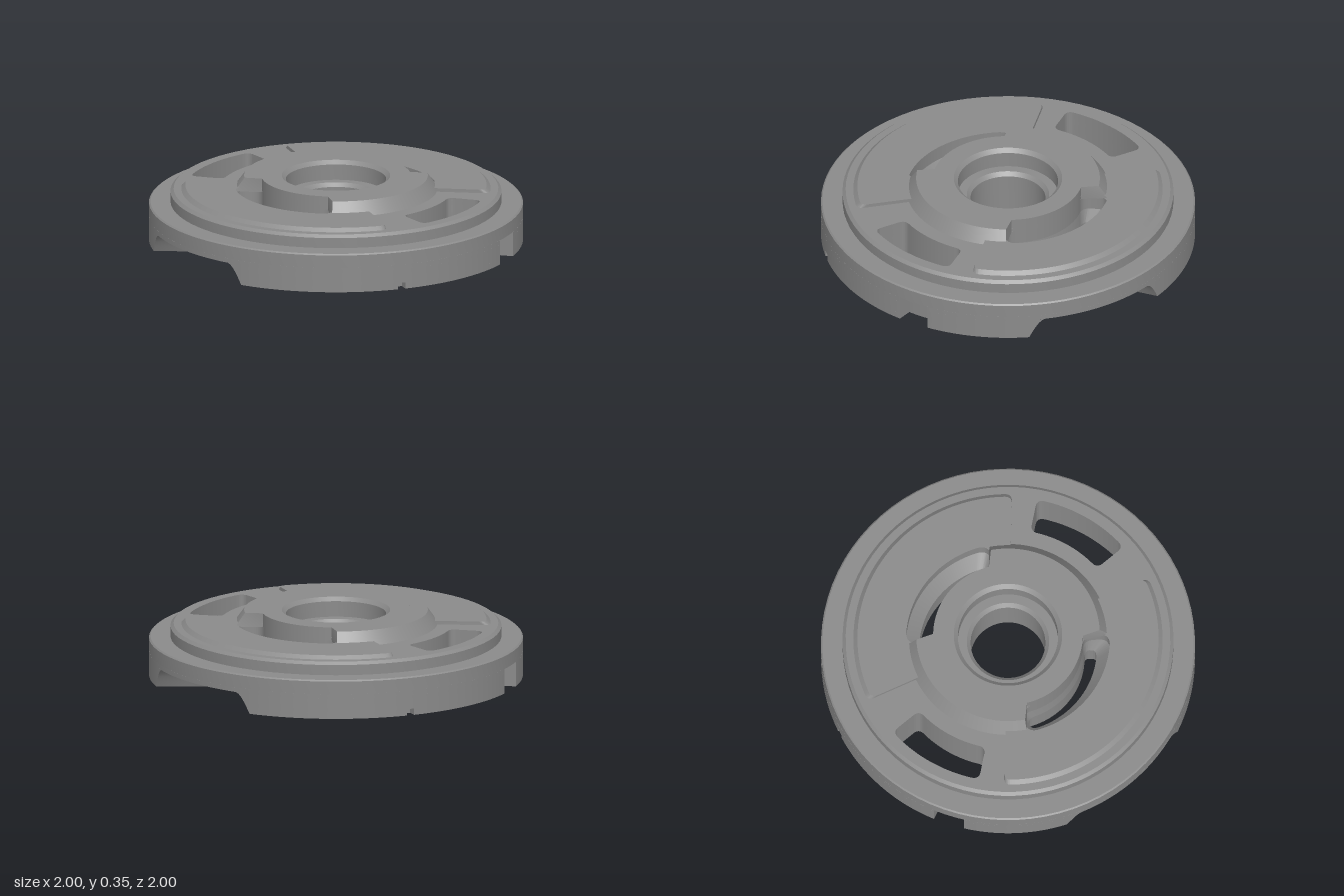
import * as THREE from 'three';
import { toCreasedNormals } from 'three/addons/utils/BufferGeometryUtils.js';
import { ParametricGeometry } from 'three/addons/geometries/ParametricGeometry.js';

const rad = THREE.MathUtils.degToRad;
const polar = (r, deg) => [r * Math.cos(rad(deg)), r * Math.sin(rad(deg))];
const twice = (make) => [0, 180].map(make);

// Ring sector with rounded corners (angles in degrees from +x towards +z)
function sector(r0, r1, a0, a1, c, Type = THREE.Path) {
  const d0 = THREE.MathUtils.radToDeg(c / r0), d1 = THREE.MathUtils.radToDeg(c / r1);
  const s = new Type();
  s.moveTo(...polar(r0, a0 + d0));
  s.absarc(0, 0, r0, rad(a0 + d0), rad(a1 - d0), false);
  s.quadraticCurveTo(...polar(r0, a1), ...polar(r0 + c, a1));
  s.lineTo(...polar(r1 - c, a1));
  s.quadraticCurveTo(...polar(r1, a1), ...polar(r1, a1 - d1));
  s.absarc(0, 0, r1, rad(a1 - d1), rad(a0 + d1), true);
  s.quadraticCurveTo(...polar(r1, a0), ...polar(r1 - c, a0));
  s.lineTo(...polar(r0 + c, a0));
  s.quadraticCurveTo(...polar(r0, a0), ...polar(r0, a0 + d0));
  return s;
}

// Disc outline with cuts in its rim: [start, end, inner radius, narrowing]
function disc(R, cuts = []) {
  const s = new THREE.Shape();
  if (!cuts.length) return s.absarc(0, 0, R, 0, Math.PI * 2, false);
  const all = twice((o) => cuts.map(([a, b, r, n]) => [a + o, b + o, r, n])).flat();
  all.forEach(([a, b, r, n], i) => {
    if (i === 0) s.moveTo(...polar(R, a));
    s.lineTo(...polar(r, a + n));
    s.absarc(0, 0, r, rad(a + n), rad(b - n), false);
    s.lineTo(...polar(R, b));
    const next = i + 1 < all.length ? all[i + 1][0] : all[0][0] + 360;
    s.absarc(0, 0, R, rad(b), rad(next), false);
  });
  return s;
}

export function createModel() {
  const group = new THREE.Group();
  const metal = new THREE.MeshStandardMaterial({ color: 0x8a8a8a });

  const add = (name, geometry) => {
    const mesh = new THREE.Mesh(toCreasedNormals(geometry, 0.5), metal);
    mesh.name = name;
    group.add(mesh);
  };

  // Horizontal slab; rule(radius, angle, isTop) may return a new [radius, angle]
  const slab = (name, shape, holes, y0, y1, rule) => {
    shape.holes.push(...holes);
    const g = new THREE.ExtrudeGeometry(shape, { depth: y1 - y0, bevelEnabled: false, curveSegments: 40 });
    g.rotateX(Math.PI / 2).translate(0, y1, 0);
    if (rule) {
      const p = g.attributes.position;
      for (let i = 0; i < p.count; i++) {
        const x = p.getX(i), z = p.getZ(i);
        const [r, a] = rule(Math.hypot(x, z), Math.atan2(z, x), p.getY(i) > (y0 + y1) / 2);
        p.setXYZ(i, r * Math.cos(a), p.getY(i), r * Math.sin(a));
      }
    }
    add(name, g);
  };

  // Openings
  const bore = () => new THREE.Path().absarc(0, 0, 0.29, 0, Math.PI * 2, false);
  const windows = () => twice((o) => sector(0.625, 0.81, 18 + o, 56.5 + o, 0.04));
  const wideSlots = () => twice((o) => sector(0.4, 0.545, -86.25 + o, -3.75 + o, 0.06));
  const narrowSlots = () => twice((o) => sector(0.41, 0.475, -82 + o, -8 + o, 0.027));
  const pockets = () => twice((o) => sector(0.34, 0.44, 17 + o, 73 + o, 0.045));
  const grooves = () => twice((o) => sector(0.9, 0.95, 74 + o, 119 + o, 0.01));
  const low = () => [bore(), ...windows(), ...narrowSlots()];
  const high = () => [bore(), ...windows(), ...wideSlots()];

  // Rim cuts
  const scoop = [-58, -11.5, 0.65, 9];
  const notch = [20.5, 30.3, 0.92, 0.3];
  const nick = [69.8, 72.2, 0.95, 0];

  // Flywheel body from the bottom up
  slab('bottomPlate', disc(1, [scoop, notch, nick]), [...low(), ...pockets(), ...grooves()], 0, 0.035);
  slab('lowerBody', disc(1, [scoop, notch]), [...low(), ...pockets()], 0.035, 0.11);
  slab('middleBody', disc(1, [notch]), low(), 0.11, 0.135);
  // The slot walls taper inwards towards the bottom here
  slab('upperBody', disc(1), high(), 0.135, 0.205, (r, a, top) => {
    if (top || r < 0.38 || r > 0.56) return [r, a];
    const mid = Math.sin(a) < 0 ? -Math.PI / 4 : Math.PI * 0.75;
    return [0.41 + (r - 0.4) * (0.065 / 0.145), mid + (a - mid) * 0.897];
  });
  slab('rimChamfer', disc(1), high(), 0.205, 0.212, (r, a, top) => [top && r > 0.9 ? 0.992 : r, a]);
  slab('step', disc(0.885), high(), 0.212, 0.268);
  slab('stepChamfer', disc(0.885), high(), 0.268, 0.283, (r, a, top) => [top && r > 0.86 ? 0.868 : r, a]);

  // Two raised pads beside the windows
  twice((o) => slab('raisedPad', sector(0.3, 0.83, -108 + o, 8.5 + o, 0.04, THREE.Shape),
    [sector(0.4, 0.545, -86.25 + o, -3.75 + o, 0.06)], 0.28, 0.302,
    (r, a, top) => [top && r > 0.7 ? r - 0.025 : r, a]));

  // Hub with sloping sides, cut away at the slots
  slab('hub', disc(0.545, [[-86.25, -3.75, 0.4, 4]]), [bore()], 0.28, 0.355,
    (r, a, top) => [top && r > 0.41 ? 0.41 + (r - 0.41) * 0.6 : r, a]);

  // Stepped centre bore
  const profile = [[0.29, 0.355], [0.268, 0.335], [0.268, 0.25], [0.22, 0.25], [0.2, 0.23], [0.2, 0], [0.29, 0]];
  add('centreBore', new THREE.LatheGeometry(profile.map(([r, y]) => new THREE.Vector2(r, y)), 80));

  // Coved ceilings of the two rim scoops, closed up to the rim
  const [a0, a1, rIn, n] = scoop;
  const ease = (t) => Math.sin(Math.min(1, Math.max(0, t)) * Math.PI / 2);
  twice((o) => add('rimScoop', new ParametricGeometry((u, v, target) => {
    const w = 1 - u, t = Math.min(1, v / 0.95);
    const [xi, zi] = polar(rIn, o + a0 + n + (a1 - a0 - 2 * n) * w);
    const [xo, zo] = polar(1, o + a0 + (a1 - a0) * w);
    const y = v > 0.97 ? 0.11 : 0.11 * ease(t * 1.6) * ease(Math.min(w, 1 - w) * 9);
    target.set(xi + (xo - xi) * t, y, zi + (zo - zi) * t);
  }, 48, 20)));

  return group;
}
